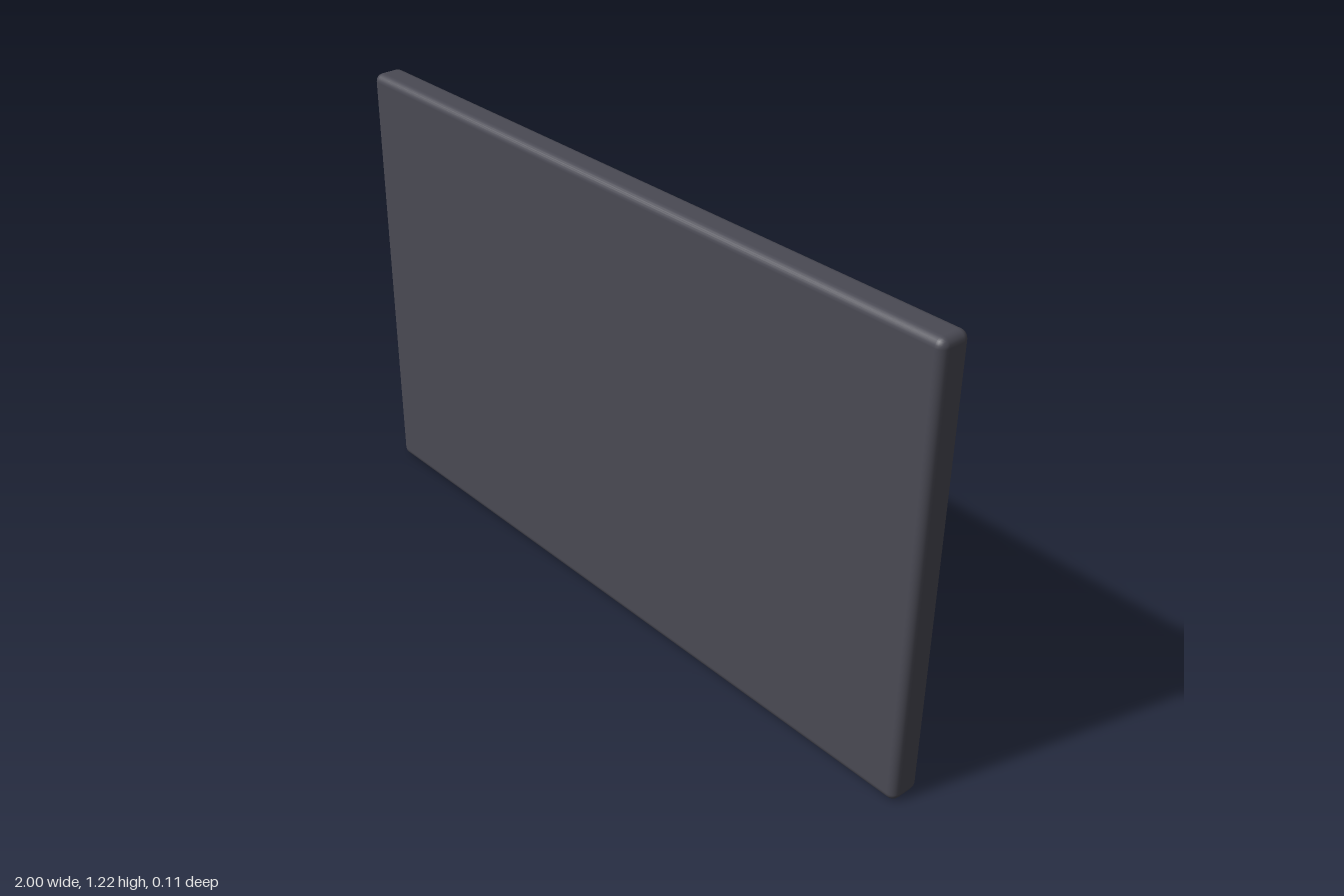
import * as THREE from 'three';
import { RoundedBoxGeometry } from 'three/addons/geometries/RoundedBoxGeometry.js';

const material = (name, color) => {
  const m = new THREE.MeshStandardMaterial({ color });
  m.name = name;
  return m;
};

export function createModel() {
  const group = new THREE.Group();
  group.name = 'displayPanel';

  const charcoal = material('charcoal', 0x4a4a54);
  const teal = material('dark teal', 0x2f5662);
  const silver = material('pale silver', 0xbcc6d6);
  const amber = material('amber', 0xdca850);

  // Rounded slab
  const back = -0.032;
  const front = 0.055;
  const body = new THREE.Mesh(new RoundedBoxGeometry(2, 1.22, front - back, 3, 0.022), charcoal);
  body.name = 'body';
  body.position.set(0, 0.61, (front + back) / 2);
  group.add(body);

  // Box fixed to the rear face, given by its x and y limits and its outer z
  function plate(name, mat, x0, x1, y0, y1, outerZ, innerZ = back + 0.002) {
    const mesh = new THREE.Mesh(new THREE.BoxGeometry(x1 - x0, y1 - y0, innerZ - outerZ), mat);
    mesh.name = name;
    mesh.position.set((x0 + x1) / 2, (y0 + y1) / 2, (innerZ + outerZ) / 2);
    group.add(mesh);
  }

  // Screen with three raised lines
  plate('screen', teal, -0.833, 0.833, 0.315, 1.09, -0.042);
  [0.947, 0.725, 0.502].forEach((y, i) =>
    plate(`screenLine${i + 1}`, silver, -0.28, 0.72, y - 0.011, y + 0.011, -0.046, -0.04));

  // Strip below the screen
  plate('strip', silver, -0.833, 0.833, 0.136, 0.202, -0.042);

  // Two buttons by the lower edge
  plate('silverButton', silver, -0.557, -0.445, 0.025, 0.09, -0.053);
  plate('amberButton', amber, -0.723, -0.612, 0.025, 0.09, -0.053);

  return group;
}
